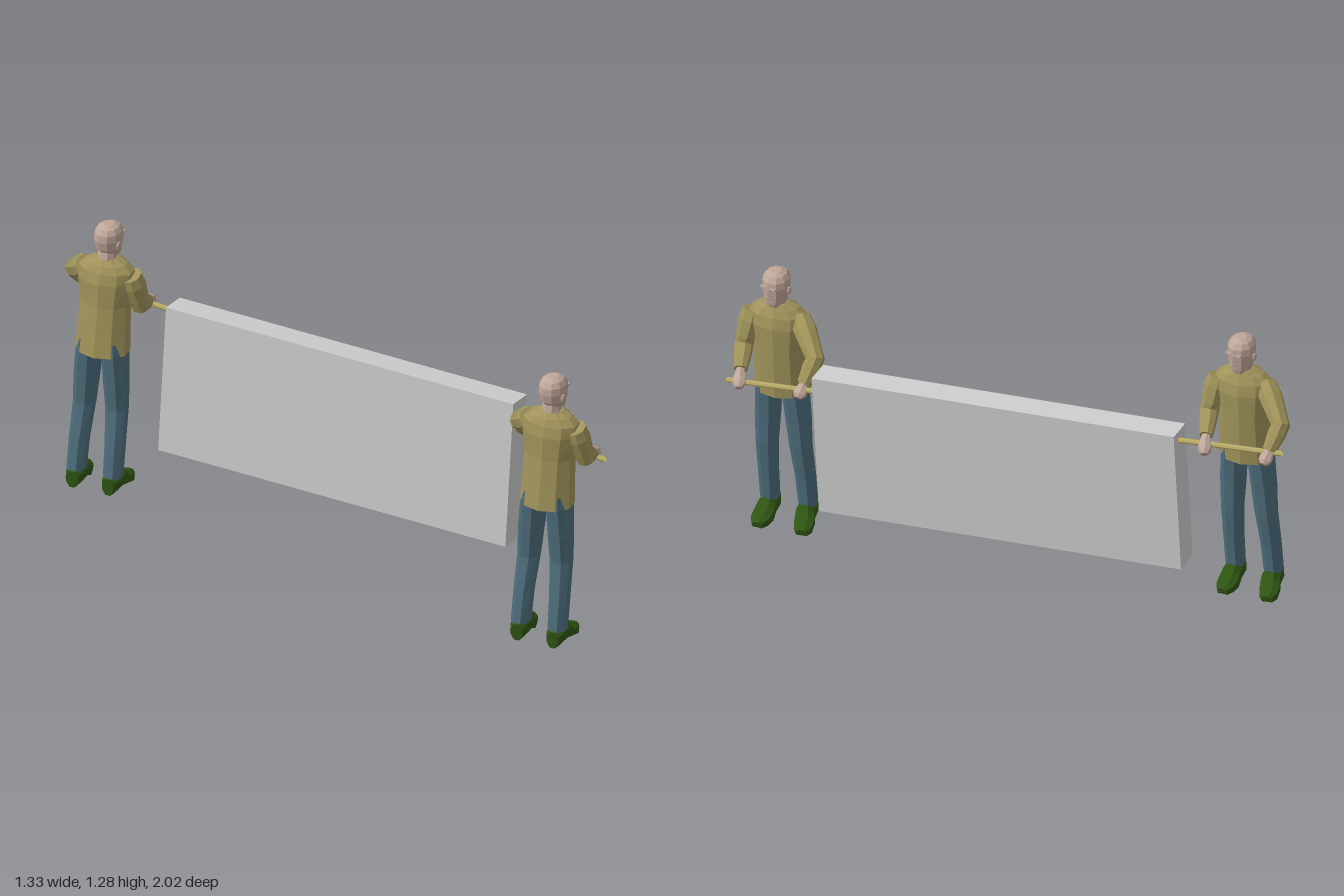
import * as THREE from 'three';

const mat = (color) => new THREE.MeshStandardMaterial({ color, flatShading: true });
const MATS = {
  coat: mat(0xa0935a), trousers: mat(0x4d6d7c), shoe: mat(0x2f5512),
  skin: mat(0xbfa698), pole: mat(0xb5a866), slab: mat(0xcccccc),
};

// Skin a row of elliptical rings [x, y, z, ra, rb]; level rings stay horizontal
function loft(rings, n, level) {
  const centres = rings.map((r) => new THREE.Vector3(r[0], r[1], r[2]));
  const pos = [], idx = [], last = rings.length - 1;
  rings.forEach((r, i) => {
    const t = level ? new THREE.Vector3(0, 1, 0)
      : centres[Math.min(i + 1, last)].clone().sub(centres[Math.max(i - 1, 0)]).normalize();
    const u = new THREE.Vector3(1, 0, 0).addScaledVector(t, -t.x).normalize();
    const v = t.clone().cross(u);
    for (let j = 0; j < n; j++) {
      const a = ((j + 0.5) / n) * Math.PI * 2;
      const p = centres[i].clone().addScaledVector(u, Math.cos(a) * r[3]).addScaledVector(v, Math.sin(a) * r[4]);
      pos.push(p.x, p.y, p.z);
    }
  });
  for (let i = 0; i < last; i++) {
    for (let j = 0; j < n; j++) {
      const a = i * n + j, b = i * n + ((j + 1) % n);
      idx.push(a, b, b + n, a, b + n, a + n);
    }
  }
  // end caps
  for (let j = 1; j < n - 1; j++) {
    idx.push(0, j + 1, j, last * n, last * n + j, last * n + j + 1);
  }
  const geo = new THREE.BufferGeometry();
  geo.setAttribute('position', new THREE.Float32BufferAttribute(pos, 3));
  geo.setIndex(idx);
  geo.computeVertexNormals();
  return geo;
}

// A carrier, modelled facing +z and then turned, leaned and placed
function createCarrier(name, x, y, z) {
  const person = new THREE.Group();
  person.name = name;
  const place = new THREE.Matrix4().makeTranslation(x, y, z)
    .multiply(new THREE.Matrix4().set(1, 0.058, 0, 0, 0, 1, 0, 0, 0, 0, 1, 0, 0, 0, 0, 1))
    .multiply(new THREE.Matrix4().makeRotationY(2.155));
  const add = (part, geo, material) => {
    geo.applyMatrix4(place);
    geo.computeVertexNormals();
    const mesh = new THREE.Mesh(geo, material);
    mesh.name = part;
    person.add(mesh);
  };

  // legs and shoes
  for (const s of [1, -1]) {
    const side = s > 0 ? 'left' : 'right';
    add(side + 'Leg', loft([
      [s * 0.075, 0.07, -0.008, 0.037, 0.047], [s * 0.073, 0.2, 0.0, 0.039, 0.046],
      [s * 0.066, 0.35, 0.014, 0.044, 0.047], [s * 0.06, 0.47, 0.006, 0.049, 0.058],
      [s * 0.052, 0.6, 0, 0.05, 0.072], [s * 0.048, 0.65, 0, 0.048, 0.068],
    ], 8, true), MATS.trousers);
    const shoe = loft([
      [s * 0.073, 0.04, -0.052, 0.026, 0.036], [s * 0.074, 0.043, -0.03, 0.036, 0.045],
      [s * 0.076, 0.042, 0.03, 0.038, 0.045], [s * 0.081, 0.026, 0.06, 0.041, 0.03],
      [s * 0.086, 0.02, 0.1, 0.036, 0.022], [s * 0.088, 0.015, 0.125, 0.02, 0.015],
    ], 8, false);
    const p = shoe.attributes.position;
    for (let i = 0; i < p.count; i++) if (p.getY(i) < 0.016) p.setY(i, 0.002);
    add(side + 'Shoe', shoe, MATS.shoe);
  }

  // coat
  add('coatBody', loft([
    [0, 0.595, 0, 0.107, 0.087], [0, 0.68, 0.002, 0.102, 0.083],
    [0, 0.8, 0.004, 0.1, 0.078], [0, 0.9, 0, 0.113, 0.078],
    [0, 0.945, -0.002, 0.112, 0.068], [0, 0.972, -0.003, 0.082, 0.055], [0, 0.99, 0, 0.042, 0.042],
  ], 10, true), MATS.coat);

  // arms: shoulder, elbow, wrist, fingertips
  const arms = {
    left: [[0.088, 0.93, -0.003], [0.18, 0.835, 0.118], [0.148, 0.745, 0.182], [0.142, 0.722, 0.215]],
    right: [[-0.1, 0.93, -0.003], [-0.128, 0.79, 0.04], [-0.108, 0.74, 0.155], [-0.098, 0.716, 0.205]],
  };
  for (const [side, pts] of Object.entries(arms)) {
    const [sh, el, wr, tip] = pts.map((a) => new THREE.Vector3(...a));
    const ring = (a, b, t, ra, rb) => [...a.clone().lerp(b, t).toArray(), ra, rb];
    add(side + 'Sleeve', loft([
      ring(sh, el, 0, 0.04, 0.042), ring(sh, el, 0.3, 0.046, 0.047), ring(sh, el, 0.75, 0.039, 0.041),
      ring(sh, el, 1, 0.036, 0.038), ring(el, wr, 0.3, 0.035, 0.036), ring(el, wr, 0.92, 0.026, 0.026),
    ], 8, false), MATS.coat);
    add(side + 'Hand', loft([
      ring(el, wr, 0.8, 0.017, 0.017), ring(wr, tip, 0, 0.019, 0.018),
      ring(wr, tip, 0.5, 0.027, 0.024), ring(wr, tip, 0.95, 0.026, 0.023), ring(wr, tip, 1.3, 0.014, 0.013),
    ], 7, false), MATS.skin);
  }

  // head, turned slightly to the right
  const turn = (g) => g.rotateY(-0.27);
  add('neck', loft([[0, 0.96, -0.008, 0.038, 0.038], [0, 1.04, 0, 0.034, 0.036]], 8, true), MATS.skin);
  add('head', turn(loft([
    [0, 0.988, 0.03, 0.022, 0.022], [0, 1.006, 0.016, 0.04, 0.04], [0, 1.035, 0.004, 0.049, 0.056],
    [0, 1.07, 0, 0.053, 0.062], [0, 1.1, -0.002, 0.051, 0.06], [0, 1.12, -0.003, 0.04, 0.047],
    [0, 1.131, -0.003, 0.02, 0.024],
  ], 10, true)), MATS.skin);
  add('nose', turn(new THREE.ConeGeometry(0.012, 0.036, 4).translate(0, 1.052, 0.062)), MATS.skin);
  add('mouth', turn(new THREE.BoxGeometry(0.026, 0.006, 0.01).translate(0, 1.019, 0.052)), MATS.skin);
  for (const s of [1, -1]) {
    add('ear', turn(new THREE.SphereGeometry(1, 6, 4).scale(0.007, 0.017, 0.012).translate(s * 0.053, 1.055, -0.005)), MATS.skin);
    add('brow', turn(new THREE.BoxGeometry(0.024, 0.007, 0.014).translate(s * 0.02, 1.078, 0.055)), MATS.skin);
  }
  return person;
}

export function createModel() {
  const model = new THREE.Group();
  model.name = 'carriersWithSlab';

  // leaning slab: columns are its length, height and thickness
  const slabGeo = new THREE.BoxGeometry(1, 1, 1).applyMatrix4(new THREE.Matrix4().set(
    0.767, 0.035, -0.087, 0.086,
    -0.055, 0.612, 0.005, 0.575,
    1.217, 0, 0.04, -0.027,
    0, 0, 0, 1));
  slabGeo.computeVertexNormals();
  const slab = new THREE.Mesh(slabGeo, MATS.slab);
  slab.name = 'slab';
  model.add(slab);

  // carrying pole running through the slab
  const pole = new THREE.Mesh(new THREE.TubeGeometry(new THREE.LineCurve3(
    new THREE.Vector3(-0.487, 0.905, -0.995), new THREE.Vector3(0.651, 0.708, 0.92)), 1, 0.011, 8), MATS.pole);
  pole.name = 'pole';
  pole.material.side = THREE.DoubleSide;
  model.add(pole);

  model.add(createCarrier('frontCarrier', 0.375, 0, 0.89));
  model.add(createCarrier('rearCarrier', -0.57, 0.155, -0.725));
  return model;
}
